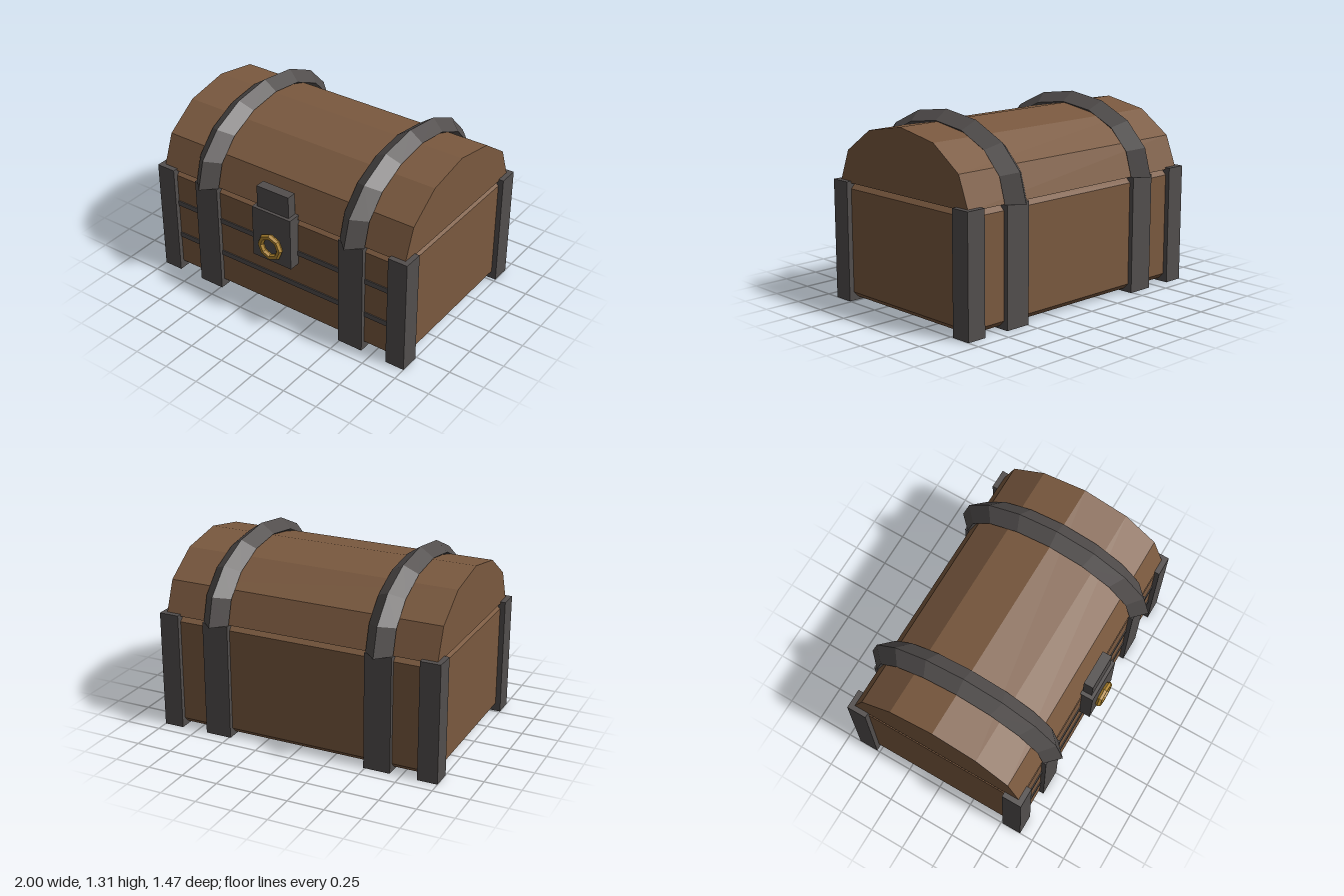
import * as THREE from 'three';

export function createModel() {
  const group = new THREE.Group();
  group.name = 'chest';
  const material = (name, color) => {
    const m = new THREE.MeshStandardMaterial({ color, flatShading: true });
    m.name = name;
    return m;
  };
  const wood = material('wood', 0x7a593f);
  const iron = material('iron', 0x524e4d);
  const brass = material('brass', 0xb0852f);

  const add = (name, geometry, mat, x = 0, y = 0, z = 0) => {
    const mesh = new THREE.Mesh(geometry, mat);
    mesh.name = name;
    mesh.position.set(x, y, z - 0.005);
    group.add(mesh);
    return mesh;
  };
  // box given by its minimum and maximum corners
  const addBox = (name, mat, [x0, y0, z0], [x1, y1, z1]) =>
    add(name, new THREE.BoxGeometry(x1 - x0, y1 - y0, z1 - z0), mat,
      (x0 + x1) / 2, (y0 + y1) / 2, (z0 + z1) / 2);

  const halfX = 0.965, halfZ = 0.625, seam = 0.8, chamfer = 0.038;

  // body with chamfered top and bottom edges
  const bx = halfX - chamfer, bz = halfZ - chamfer;
  const base = new THREE.Shape([
    new THREE.Vector2(-bx, -bz), new THREE.Vector2(bx, -bz),
    new THREE.Vector2(bx, bz), new THREE.Vector2(-bx, bz),
  ]);
  const body = new THREE.ExtrudeGeometry(base, {
    depth: seam - 0.02 - 2 * chamfer, bevelEnabled: true, bevelSegments: 1,
    bevelSize: chamfer, bevelThickness: chamfer,
  });
  body.rotateX(-Math.PI / 2);
  add('body', body, wood, 0, 0.02 + chamfer, 0);

  // domed lid: six flat facets
  const arch = [];
  for (let i = 0; i <= 6; i++) {
    const a = (i / 6) * Math.PI;
    arch.push(new THREE.Vector2(halfZ * Math.cos(a), 0.435 * Math.sin(a)));
  }
  const lid = new THREE.ExtrudeGeometry(new THREE.Shape(arch), { depth: 2 * halfX, bevelEnabled: false });
  lid.translate(0, 0, -halfX);
  lid.rotateY(Math.PI / 2);
  add('lid', lid, wood, 0, seam, 0);

  for (const side of [-1, 1]) {
    // corner posts
    for (const end of [-1, 1]) {
      add('cornerPost', new THREE.BoxGeometry(0.138, 0.813, 0.14), iron, side * 0.931, 0.4065, end * 0.587);
    }
    // band around the body and ridged hoop over the lid
    add('bodyBand', new THREE.BoxGeometry(0.185, seam, 1.312), iron, side * 0.582, seam / 2, 0);
    const hoop = new THREE.TorusGeometry(0.635, 0.093, 4, 8, Math.PI);
    hoop.scale(1, 0.698, 1);
    hoop.rotateY(Math.PI / 2);
    add('lidHoop', hoop, iron, side * 0.582, seam, 0);
  }

  // thin rails across the front
  for (const y of [0.283, 0.542]) {
    addBox('frontRail', iron, [-0.87, y - 0.018, 0.61], [0.87, y + 0.018, 0.632]);
  }

  // latch
  addBox('latchPlate', iron, [-0.153, 0.457, 0.612], [0.153, 0.83, 0.706]);
  addBox('latchHasp', iron, [-0.126, 0.8, 0.616], [0.126, 0.985, 0.684]);
  add('latchRing', new THREE.TorusGeometry(0.077, 0.021, 6, 8), brass, 0, 0.582, 0.722);

  return group;
}
